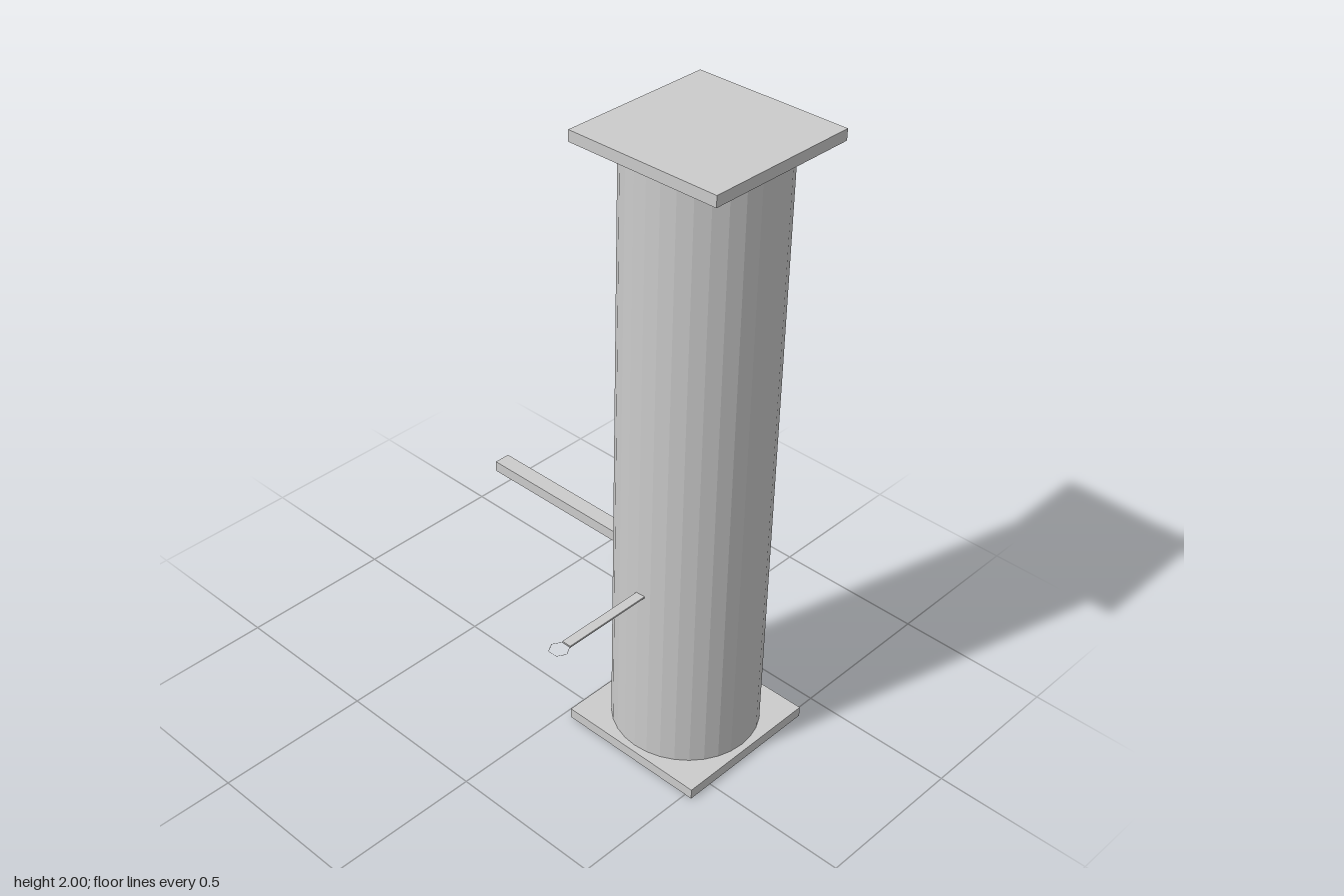
import * as THREE from 'three';

export function createModel() {
  const group = new THREE.Group();
  const flat = new THREE.MeshStandardMaterial({ color: 0xcccccc, flatShading: true });
  const cx = 0.165, cz = 0.275; // column axis

  const add = (name, geometry, x, y, z) => {
    const mesh = new THREE.Mesh(geometry, flat);
    mesh.name = name;
    mesh.position.set(x, y, z);
    group.add(mesh);
    return mesh;
  };
  // box given by its minimum and maximum along each axis
  const box = (name, [x0, x1], [y0, y1], [z0, z1]) =>
    add(name, new THREE.BoxGeometry(x1 - x0, y1 - y0, z1 - z0),
      (x0 + x1) / 2, (y0 + y1) / 2, (z0 + z1) / 2);

  // square end plates
  const plate = 0.034, half = 0.249;
  for (const [name, y] of [['basePlate', 0], ['topPlate', 2 - plate]])
    box(name, [cx - half, cx + half], [y, y + plate], [cz - half, cz + half]);

  // round column between the plates
  add('column', new THREE.CylinderGeometry(0.228, 0.228, 2 - 2 * plate, 32), cx, 1, cz);

  // arm reaching out of the back
  box('backArm', [0.139, 0.191], [0.543, 0.578], [-0.525, 0.055]);

  // thin strip to the side, ending in a fine hexagonal wire loop
  box('sideStrip', [-0.36, -0.055], [0.62, 0.626], [0.27, 0.3]);
  const loop = new THREE.TorusGeometry(0.03, 0.0008, 4, 6).rotateZ(Math.PI / 6).rotateX(Math.PI / 2);
  add('wireLoop', loop, -0.388, 0.623, 0.285);

  return group;
}
